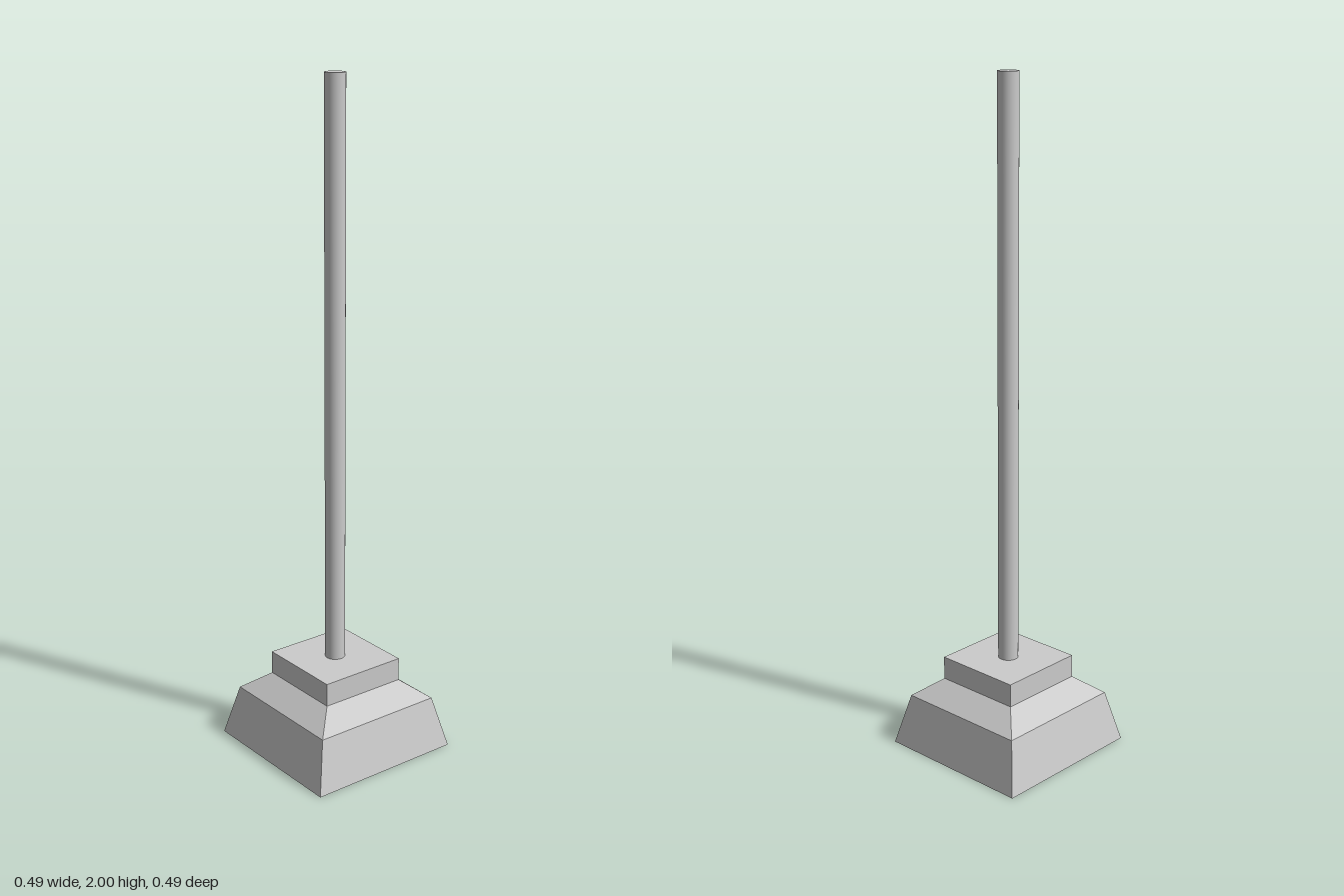
import * as THREE from 'three';

export function createModel() {
  const group = new THREE.Group();

  // Hollow square cup: [half width, height], from the inner ceiling, round the rim, to the top
  const profile = [
    [0, 0.25], [0.112, 0.25], [0.112, 0.19], [0.175, 0.14], [0.203, 0],
    [0.244, 0], [0.207, 0.155], [0.136, 0.21], [0.136, 0.28], [0, 0.28],
  ].map(([half, y]) => new THREE.Vector2(half * Math.SQRT2, y));
  const cup = new THREE.Mesh(
    new THREE.LatheGeometry(profile, 4).rotateY(Math.PI / 4),
    new THREE.MeshStandardMaterial({ color: 0xcccccc, flatShading: true })
  );
  cup.name = 'cup';
  group.add(cup);

  // Long round handle standing on the cup
  const bottom = 0.27, top = 2;
  const handle = new THREE.Mesh(
    new THREE.CylinderGeometry(0.03, 0.03, top - bottom, 32),
    new THREE.MeshStandardMaterial({ color: 0xcccccc })
  );
  handle.name = 'handle';
  handle.position.y = (top + bottom) / 2;
  group.add(handle);

  return group;
}
